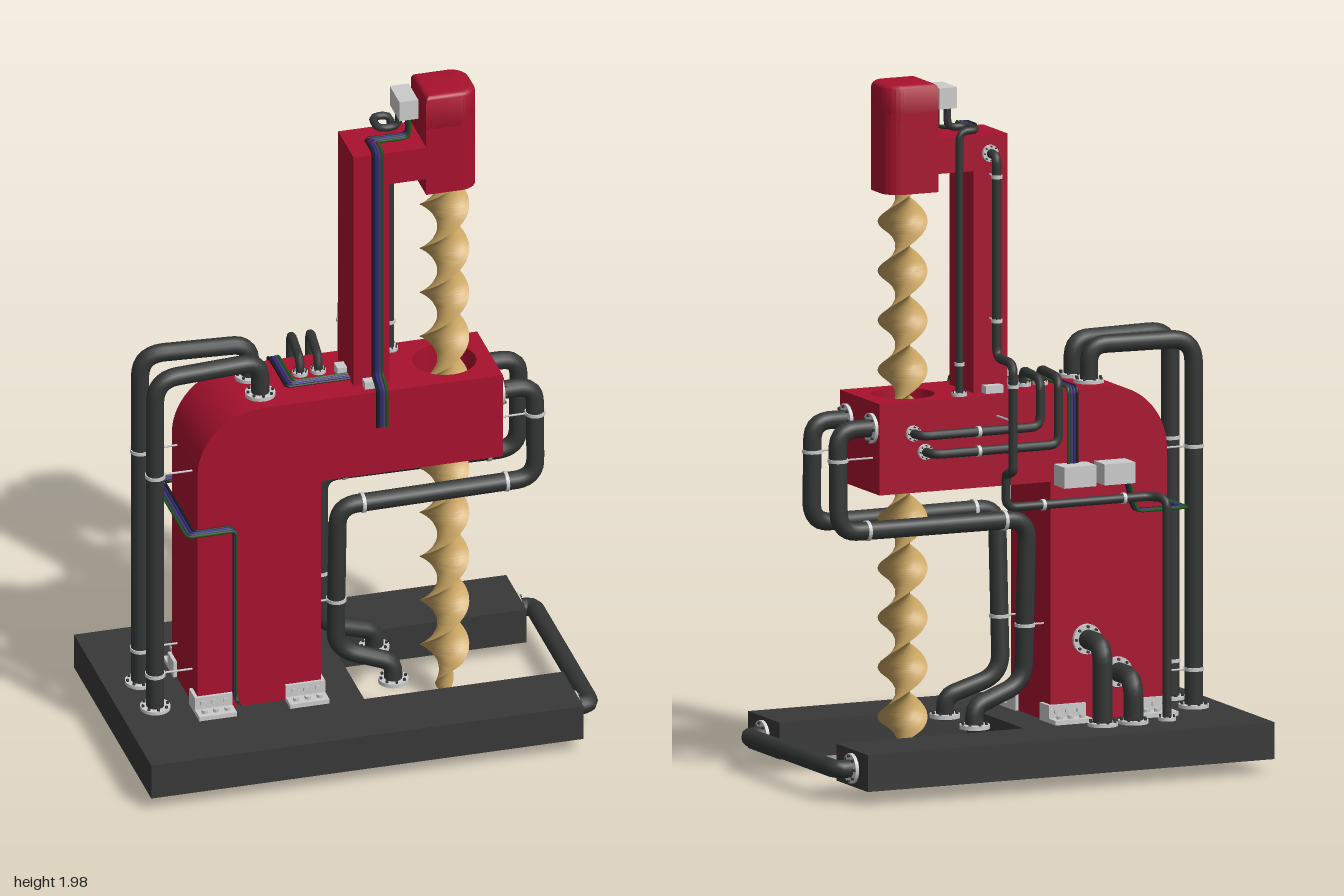
import * as THREE from 'three';
import { toCreasedNormals } from 'three/addons/utils/BufferGeometryUtils.js';

const material = (color) => new THREE.MeshStandardMaterial({ color, side: THREE.DoubleSide });
const V = (p) => new THREE.Vector3(p[0], p[1], p[2]);

export function createModel() {
  const model = new THREE.Group();
  const red = material(0xa8112e), dark = material(0x383838), hose = material(0x343636);
  const grey = material(0xcccccc), tan = material(0xc9a462);
  const cableColors = [0x1c1c1c, 0x2b2b80, 0x4a3a70, 0x1c5a1c].map(material);

  function add(name, geometry, mat, parent = model) {
    const mesh = new THREE.Mesh(geometry, mat);
    mesh.name = name;
    parent.add(mesh);
    return mesh;
  }
  // box given by its extents
  function box(name, x0, x1, y0, y1, z0, z1, mat, parent) {
    const m = add(name, new THREE.BoxGeometry(x1 - x0, y1 - y0, z1 - z0), mat, parent);
    m.position.set((x0 + x1) / 2, (y0 + y1) / 2, (z0 + z1) / 2);
    return m;
  }
  // plan outline (x, -z) raised from y0 to y1
  function raise(name, shape, y0, y1, mat, bevel = 0) {
    const g = new THREE.ExtrudeGeometry(shape, {
      depth: y1 - y0 - 2 * bevel, curveSegments: 16, bevelEnabled: bevel > 0,
      bevelSize: bevel, bevelOffset: -bevel, bevelThickness: bevel, bevelSegments: 4,
    });
    g.rotateX(-Math.PI / 2).translate(0, y0 + bevel, 0);
    return add(name, toCreasedNormals(g, 0.6), mat);
  }
  const outline = (pts) => new THREE.Shape(pts.map(([x, y]) => new THREE.Vector2(x, y)));
  // tube along straight runs with rounded bends
  function pipe(name, pts, r, bend, mat = hose, sides = 12) {
    const p = pts.map(V), path = new THREE.CurvePath();
    let from = p[0];
    for (let i = 1; i < p.length - 1; i++) {
      const a = p[i - 1].clone().sub(p[i]), b = p[i + 1].clone().sub(p[i]);
      const d = Math.min(bend, a.length() * 0.45, b.length() * 0.45);
      const s = p[i].clone().addScaledVector(a.normalize(), d);
      const e = p[i].clone().addScaledVector(b.normalize(), d);
      path.add(new THREE.LineCurve3(from, s));
      path.add(new THREE.QuadraticBezierCurve3(s, p[i], e));
      from = e;
    }
    path.add(new THREE.LineCurve3(from, p[p.length - 1]));
    const n = p.length === 2 ? 1 : Math.ceil(path.getLength() / 0.014);
    return add(name, new THREE.TubeGeometry(path, n, r, sides), mat);
  }
  function disc(name, at, dir, r, h, mat = grey, parent = model, sides = 24) {
    const m = add(name, new THREE.CylinderGeometry(r, r, h, sides), mat, parent);
    m.position.copy(V(at));
    m.quaternion.setFromUnitVectors(new THREE.Vector3(0, 1, 0), V(dir).normalize());
    return m;
  }
  // pipe flange with a ring of bolts
  function flange(at, dir, r = 0.043) {
    const f = disc('flange', at, dir, r, 0.012);
    for (let i = 0; i < 8; i++) {
      const a = (i * Math.PI) / 4;
      disc('flangeBolt', [Math.cos(a) * r * 0.84, 0.008, Math.sin(a) * r * 0.84], [0, 1, 0], r * 0.1, 0.008, dark, f, 6);
    }
  }
  // thin rod tying a pipe to the body
  const strap = (a, b) => pipe('strap', [a, b], 0.003, 0, grey, 6);
  // each cable point: position followed by the step to the next cable
  function cables(name, pts) {
    cableColors.forEach((mat, i) => {
      pipe(name, pts.map((p) => [0, 1, 2].map((k) => p[k] + p[k + 3] * (i - 1.5) * 0.009)), 0.0045, 0.012, mat, 6);
    });
  }

  // forked base plate
  raise('base', outline([[-0.67, -0.395], [0.59, -0.395], [0.59, -0.187], [0.01, -0.187],
    [0.01, 0.187], [0.59, 0.187], [0.59, 0.395], [-0.67, 0.395]]), 0.06, 0.165, dark);
  pipe('baseEndPipe', [[0.58, 0.112, 0.295], [0.64, 0.112, 0.295], [0.64, 0.112, -0.295], [0.58, 0.112, -0.295]], 0.026, 0.05);
  for (const s of [1, -1]) flange([0.594, 0.112, 0.295 * s], [1, 0, 0]);

  // column with rounded rear shoulder
  const side = new THREE.Shape();
  side.moveTo(-0.46, 0.165);
  side.lineTo(-0.1, 0.165);
  side.lineTo(-0.1, 1.11);
  side.lineTo(-0.27, 1.11);
  side.absarc(-0.27, 0.92, 0.19, Math.PI / 2, Math.PI, false);
  const column = new THREE.ExtrudeGeometry(side, { depth: 0.262, bevelEnabled: false, curveSegments: 16 });
  add('column', toCreasedNormals(column.translate(0, 0, -0.131), 0.6), red);

  // arm with the drill opening
  const armPlan = outline([[-0.1, -0.131], [0.43, -0.131], [0.43, 0.131], [-0.1, 0.131]]);
  armPlan.holes.push(new THREE.Path().absarc(0.297, 0, 0.09, 0, Math.PI * 2, true));
  raise('arm', armPlan, 0.85, 1.11, red);

  // mast, crossbeam and drill head
  box('mast', 0.01, 0.115, 1.1, 1.842, -0.08, 0.08, red);
  box('mastBeam', 0.11, 0.24, 1.742, 1.842, -0.08, 0.08, red);
  const head = new THREE.Shape();
  head.moveTo(0.222, -0.078);
  head.lineTo(0.32, -0.078);
  head.absarc(0.325, -0.026, 0.052, -Math.PI / 2, 0, false);
  head.absarc(0.325, 0.026, 0.052, 0, Math.PI / 2, false);
  head.lineTo(0.222, 0.078);
  raise('headLower', head, 1.69, 1.92, red);
  raise('headTop', head, 1.88, 2.0, red, 0.018);

  // auger: lens-shaped blade twisted around its axis, ending in a point
  const rows = 240, ring = 16, y0 = 0.02, y1 = 1.75, pos = [], idx = [];
  for (let j = 0; j <= rows; j++) {
    const y = y0 + ((y1 - y0) * j) / rows, k = Math.min(1, (y - y0) / 0.14);
    const turn = (-(y - 1.62) * Math.PI) / 0.141;
    for (let i = 0; i < ring; i++) {
      const a = (i / ring) * Math.PI * 2;
      const u = 0.07 * k * Math.cos(a), v = 0.021 * k * Math.sin(a) * Math.abs(Math.sin(a));
      pos.push(0.297 + u * Math.cos(turn) - v * Math.sin(turn), y, u * Math.sin(turn) + v * Math.cos(turn));
      if (j < rows) {
        const p = j * ring + i, q = j * ring + ((i + 1) % ring);
        idx.push(p, p + ring, q, q, p + ring, q + ring);
      }
    }
  }
  const auger = new THREE.BufferGeometry();
  auger.setAttribute('position', new THREE.Float32BufferAttribute(pos, 3));
  auger.setIndex(idx);
  add('auger', toCreasedNormals(auger, 0.8), tan);

  for (const s of [1, -1]) {
    // hoses from the base over the column shoulder
    pipe('rearHose', [[-0.568, 0.16, 0.077 * s], [-0.568, 1.216, 0.077 * s], [-0.255, 1.216, 0.053 * s], [-0.255, 1.1, 0.053 * s]], 0.026, 0.07);
    flange([-0.568, 0.169, 0.077 * s], [0, 1, 0]);
    flange([-0.255, 1.114, 0.053 * s], [0, 1, 0]);
    for (const y of [0.275, 0.91]) {
      disc('hoseClamp', [-0.568, y, 0.077 * s], [0, 1, 0], 0.029, 0.01);
      strap([-0.545, y, 0.077 * s], [-0.455, y, 0.077 * s]);
    }
    // hoses from the arm end, under the arm and down
    pipe('armHose', [[0.42, 1.035, 0.083 * s], [0.537, 1.035, 0.083 * s], [0.537, 0.745, 0.09 * s], [-0.042, 0.745, 0.1 * s],
      [-0.042, 0.275, 0.075 * s], [0.12, 0.22, 0.095 * s], [0.12, 0.155, 0.098 * s]], 0.026, 0.06);
    flange([0.434, 1.035, 0.083 * s], [1, 0, 0]);
    flange([0.12, 0.165, 0.098 * s], [0, 1, 0]);
    disc('hoseClamp', [0.537, 0.95, 0.085 * s], [0, 1, 0], 0.029, 0.01);
    disc('hoseClamp', [0.45, 0.745, 0.091 * s], [1, 0, 0], 0.029, 0.01);
    disc('hoseClamp', [0.03, 0.745, 0.099 * s], [1, 0, 0], 0.029, 0.01);
    disc('hoseClamp', [-0.042, 0.44, 0.084 * s], [0, 1, 0], 0.029, 0.01);
    strap([-0.06, 0.44, 0.084 * s], [-0.105, 0.44, 0.084 * s]);
    strap([0.537, 0.95, 0.085 * s], [0.425, 0.95, 0.085 * s]);

    // bolted corner brackets of the column
    for (const [x0, x1, outer] of [[-0.47, -0.36, -0.465], [-0.205, -0.09, -0.095]]) {
      const b = new THREE.Group();
      b.name = 'footBracket';
      model.add(b);
      box('bracketFoot', x0, x1, 0.165, 0.178, 0.125 * s, 0.185 * s, grey, b);
      box('bracketPlate', x0, x1, 0.165, 0.215, 0.128 * s, 0.14 * s, grey, b);
      box('bracketSide', outer - 0.005, outer + 0.005, 0.165, 0.215, 0.08 * s, 0.135 * s, grey, b);
      for (const t of [0.2, 0.5, 0.8]) {
        const x = x0 + (x1 - x0) * t;
        disc('bracketBolt', [x, 0.181, 0.163 * s], [0, 1, 0], 0.009, 0.012, grey, b, 6);
        disc('bracketBolt', [x, 0.197, 0.142 * s], [0, 0, 1], 0.008, 0.01, grey, b, 6);
      }
    }
    box('mastBracket', 0.035, 0.09, 1.108, 1.132, 0.078 * s, 0.108 * s, grey);
  }
  box('mastBracket', -0.018, 0.012, 1.108, 1.135, -0.025, 0.012, grey);

  // elbows into the back of the column
  for (const [x, y] of [[-0.21, 0.395], [-0.305, 0.295]]) {
    pipe('backElbow', [[x, 0.16, -0.24], [x, y, -0.24], [x, y, -0.12]], 0.028, 0.06);
    flange([x, 0.169, -0.24], [0, 1, 0]);
    flange([x, y, -0.135], [0, 0, -1]);
  }

  // long line from the mast top to the base along the back
  pipe('backLine', [[0.065, 1.79, -0.07], [0.065, 1.79, -0.127], [0.065, 1.215, -0.127], [0.065, 1.215, -0.235], [0.065, 0.9, -0.235],
    [0.065, 0.9, -0.19], [0.065, 0.797, -0.187], [-0.38, 0.797, -0.187], [-0.41, 0.797, -0.238], [-0.41, 0.16, -0.238]], 0.013, 0.03);
  flange([0.065, 1.79, -0.083], [0, 0, -1], 0.024);
  flange([-0.41, 0.169, -0.238], [0, 1, 0], 0.025);
  for (const y of [1.73, 1.32]) {
    disc('lineClamp', [0.065, y, -0.127], [0, 1, 0], 0.016, 0.01);
    strap([0.065, y, -0.127], [0.065, y, -0.075]);
  }
  disc('lineClamp', [0.065, 1.15, -0.235], [0, 1, 0], 0.016, 0.01);
  strap([0.065, 1.05, -0.235], [0.065, 1.05, -0.128]);
  for (const x of [-0.05, -0.3]) disc('lineClamp', [x, 0.797, -0.187], [1, 0, 0], 0.016, 0.01);

  // pair of lines from the arm top to the arm's back
  for (const [x, xd, y, xe] of [[-0.115, -0.098, 0.965, 0.29], [-0.062, -0.042, 1.02, 0.327]]) {
    pipe('armLine', [[x, 1.1, -0.03], [x, 1.155, -0.03], [xd, 1.155, -0.187], [xd, y, -0.187], [xe, y, -0.187], [xe, y, -0.12]], 0.013, 0.03);
    flange([x, 1.114, -0.03], [0, 1, 0], 0.022);
    flange([xe, y, -0.135], [0, 0, -1], 0.022);
    disc('lineClamp', [0.15, y, -0.187], [1, 0, 0], 0.016, 0.01);
  }

  // control box on the mast with its line down to the arm
  box('topBox', 0.153, 0.208, 1.92, 1.98, -0.053, 0.047, grey);
  pipe('mastLine', [[0.172, 1.93, -0.028], [0.172, 1.862, -0.028], [0.112, 1.862, -0.028], [0.112, 1.862, -0.1],
    [0.168, 1.862, -0.1], [0.168, 1.1, -0.1]], 0.011, 0.025);
  flange([0.168, 1.114, -0.1], [0, 1, 0], 0.022);
  disc('lineClamp', [0.168, 1.2, -0.1], [0, 1, 0], 0.014, 0.01);

  // junction boxes on the column's back
  box('junctionBox', -0.33, -0.235, 0.84, 0.9, -0.2, -0.13, grey);
  box('junctionBox', -0.21, -0.11, 0.84, 0.9, -0.2, -0.13, grey);

  // cable bundles: mast front, arm top, and around the column
  cables('mastCable', [[0.185, 1.93, 0.02, 0, 0, 1], [0.185, 1.856, 0.02, 0, 0, 1], [0.077, 1.856, 0.02, 1, 0, 1], [0.077, 1.856, 0.09, 1, 0, 0],
    [0.077, 1.14, 0.09, 1, 0, 0], [0.077, 1.12, 0.137, 1, 0, 0], [0.077, 1.0, 0.137, 1, 0, 0]]);
  cables('armCable', [[-0.162, 0.89, -0.145, 1, 0, 0], [-0.162, 1.117, -0.145, 1, 0, 0],
    [-0.162, 1.117, 0.03, 1, 0, -1], [0.015, 1.117, 0.03, 0, 0, -1]]);
  cables('columnCable', [[-0.32, 0.85, -0.165, 0, 0, -1], [-0.345, 0.755, -0.165, 0, 0, -1], [-0.49, 0.755, -0.165, -1, 0, -1],
    [-0.49, 0.755, 0.165, -1, 0, 1], [-0.36, 0.755, 0.165, 0, 0, 1], [-0.36, 0.215, 0.165, 0, 0, 1], [-0.36, 0.215, 0.21, 0, 0, 0.1]]);

  return model;
}
